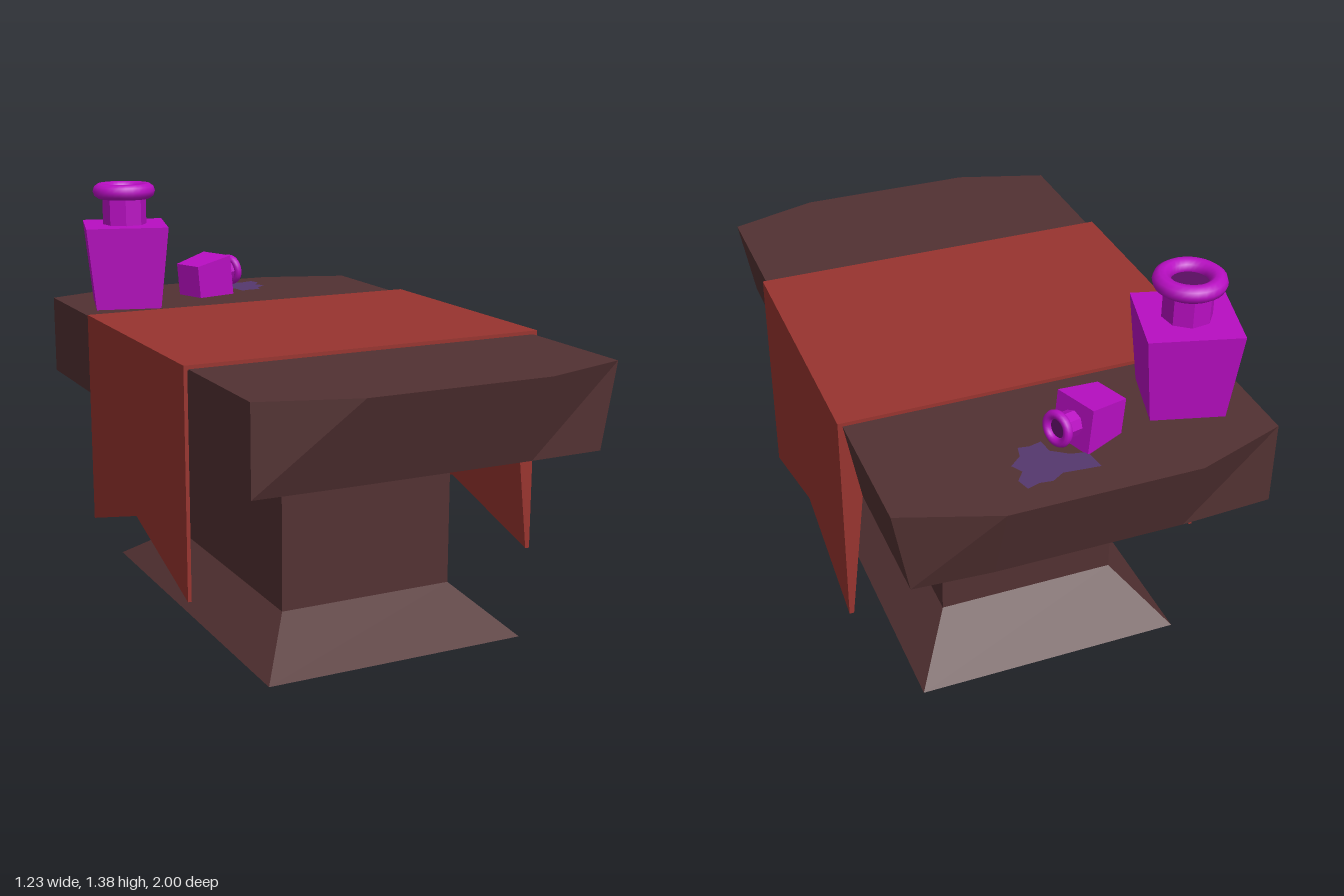
import * as THREE from 'three';

const material = (color, extra = {}) => new THREE.MeshStandardMaterial({ color, ...extra });

// Skins a stack of convex rings, each counter-clockwise seen from the last ring's side.
function loft(rings) {
  const n = rings[0].length, position = rings.flat(2), index = [];
  const last = (rings.length - 1) * n;
  for (let r = 0; r < rings.length - 1; r++) {
    for (let i = 0; i < n; i++) {
      const a = r * n + i, b = r * n + (i + 1) % n;
      index.push(a, b, b + n, a, b + n, a + n);
    }
  }
  for (let i = 1; i < n - 1; i++) {
    index.push(0, i + 1, i, last, last + i, last + i + 1);
  }
  const geometry = new THREE.BufferGeometry();
  geometry.setAttribute('position', new THREE.Float32BufferAttribute(position, 3));
  geometry.setIndex(index);
  const flat = geometry.toNonIndexed();
  flat.computeVertexNormals();
  return flat;
}

const rect = (y, x, z, cz = 0) =>
  [[-x, y, cz + z], [x, y, cz + z], [x, y, cz - z], [-x, y, cz - z]];

function add(parent, name, geometry, mat, y = 0) {
  const mesh = new THREE.Mesh(geometry, mat);
  mesh.name = name;
  mesh.position.y = y;
  parent.add(mesh);
  return mesh;
}

// Square flask that widens upward, with a faceted neck and a round lip.
function makeBottle(name) {
  const bottle = new THREE.Group();
  bottle.name = name;
  const glass = material(0xb80ec2, { flatShading: true });
  const lipGlass = material(0xb80ec2);
  const inside = material(0x5a0e62);
  add(bottle, 'bottleBody', loft([rect(0, 0.114, 0.114), rect(0.29, 0.143, 0.143)]), glass);
  add(bottle, 'bottleNeck', new THREE.CylinderGeometry(0.077, 0.077, 0.11, 8), glass, 0.345);
  const lip = add(bottle, 'bottleLip', new THREE.TorusGeometry(0.083, 0.0275, 10, 28), lipGlass, 0.4075);
  lip.rotation.x = Math.PI / 2;
  const mouth = add(bottle, 'bottleMouth', new THREE.CircleGeometry(0.078, 24), inside, 0.403);
  mouth.rotation.x = -Math.PI / 2;
  return bottle;
}

export function createModel() {
  const model = new THREE.Group();
  model.name = 'altarTable';
  const stone = material(0x523132, { flatShading: true });
  const cloth = material(0x98342f, { flatShading: true });

  // Pedestal with flared foot
  add(model, 'pedestal', loft([
    rect(0, 0.443, 0.663, 0.005),
    rect(0.138, 0.3, 0.45, 0.005),
    rect(0.68, 0.3, 0.45, 0.005),
  ]), stone);

  // Table slab: clipped corners on top, undercut ends and one undercut side
  const slabRing = (y, right, end) => [
    [-0.6, y, 0.905], [-0.3, y, end], [0.3, y, end], [right, y, 0.905],
    [right, y, -0.895], [0.3, y, -end], [-0.3, y, -end], [-0.6, y, -0.895],
  ];
  add(model, 'tableSlab', loft([slabRing(0.67, 0.55, 0.91), slabRing(0.943, 0.6, 1)]), stone);

  // Cloth: flat top and two hanging panels with a notched hem
  const clothTop = new THREE.BoxGeometry(1.23, 0.015, 0.9);
  add(model, 'clothTop', clothTop, cloth, 0.9475).position.z = 0.01;
  const hem = [[-0.44, 0.21], [0.01, 0.35], [0.46, 0.21]];
  add(model, 'clothLeftPanel', loft(hem.map(([z, b]) => [
    [0.615, b, z], [0.615, 0.945, z], [0.6, 0.945, z],
    [0.55, 0.67, z], [0.6 - (b - 0.21) * 0.109, b, z],
  ])), cloth);
  add(model, 'clothRightPanel', loft(hem.map(([z, b]) => [
    [-0.603, b + 0.015, z], [-0.603, 0.945, z], [-0.615, 0.945, z], [-0.615, b + 0.015, z],
  ])), cloth);

  // Standing bottle
  const standing = makeBottle('standingBottle');
  standing.position.set(-0.398, 0.943, -0.655);
  standing.rotation.y = -0.265;
  model.add(standing);

  // Small bottle lying on one face
  const fallen = makeBottle('fallenBottle');
  fallen.scale.setScalar(0.515);
  fallen.position.set(-0.138, 1.001, -0.704);
  fallen.rotation.set(0, 0.345, -(Math.PI / 2 - 0.1), 'YXZ');
  model.add(fallen);

  // Spilled liquid
  const outline = [
    [-0.03, 0.89], [0.03, 0.885], [0.085, 0.88], [0.125, 0.905], [0.165, 0.9],
    [0.205, 0.913], [0.217, 0.87], [0.19, 0.835], [0.21, 0.8], [0.17, 0.765],
    [0.16, 0.725], [0.125, 0.73], [0.085, 0.72], [0.08, 0.77], [0.03, 0.805], [-0.02, 0.815],
  ].map(([x, z]) => new THREE.Vector2(x, z));
  const spill = new THREE.ShapeGeometry(new THREE.Shape(outline));
  add(model, 'spill', spill, material(0x55386e, { side: THREE.DoubleSide }), 0.946)
    .rotation.x = -Math.PI / 2;

  return model;
}
